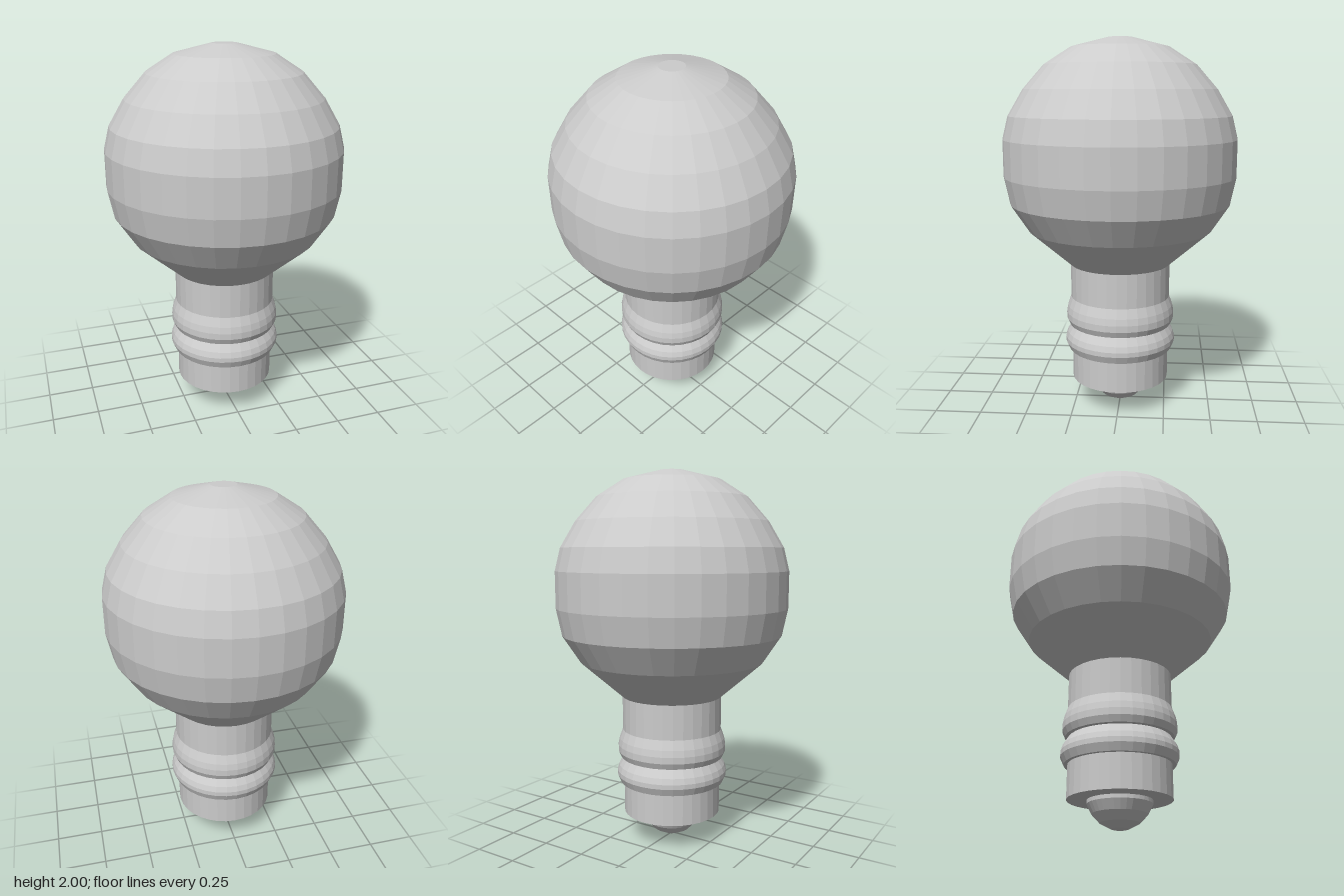
import * as THREE from 'three';

const SIDES = 32;
const material = new THREE.MeshStandardMaterial({ color: 0xcccccc, flatShading: true });

// Revolved part; profile is [radius, height] from bottom to top
function turned(name, profile) {
  const points = profile.map(([r, y]) => new THREE.Vector2(r, y));
  const mesh = new THREE.Mesh(new THREE.LatheGeometry(points, SIDES), material);
  mesh.name = name;
  return mesh;
}

export function createModel() {
  const group = new THREE.Group();
  group.name = 'lightBulb';

  // Round glass globe, tapering down to the neck
  group.add(turned('glassGlobe', [
    [0.272, 0.80], [0.495, 0.995], [0.59, 1.14], [0.62, 1.285], [0.62, 1.48],
    [0.59, 1.60], [0.51, 1.735], [0.40, 1.86], [0.26, 1.95], [0.065, 2], [0, 2],
  ]));

  // Straight collar flaring into the upper thread ridge
  group.add(turned('collarAndUpperThread', [
    [0.262, 0.46], [0.282, 0.462], [0.297, 0.495], [0.297, 0.53], [0.29, 0.565],
    [0.272, 0.615], [0.272, 0.80],
  ]));

  // Lower thread ridge
  group.add(turned('lowerThread', [
    [0.265, 0.32], [0.285, 0.32], [0.303, 0.36], [0.303, 0.385], [0.293, 0.415],
    [0.268, 0.455], [0.262, 0.46],
  ]));

  // Plain base ring with its flat underside
  group.add(turned('baseRing', [
    [0.16, 0.147], [0.266, 0.147], [0.266, 0.32],
  ]));

  // Domed contact at the bottom
  group.add(turned('contactTip', [
    [0, 0], [0.045, 0.01], [0.10, 0.038], [0.14, 0.08], [0.165, 0.128], [0.165, 0.147],
  ]));

  return group;
}
